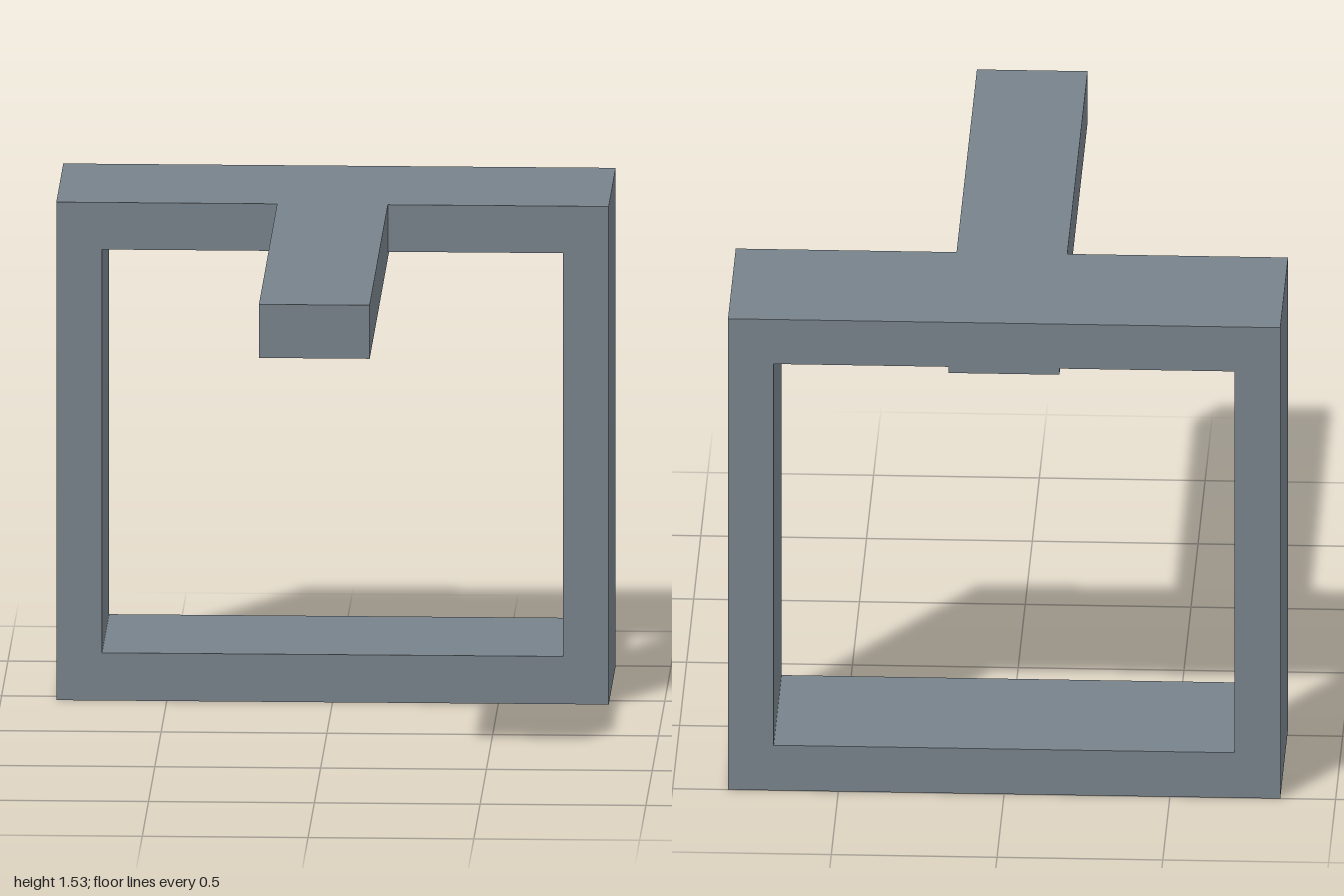
import * as THREE from 'three';

const HALF_W = 0.833, HEIGHT = 1.535;
const BACK = -1, FRAME_FRONT = -0.445, FRONT = 1;
const OPEN_X = 0.695, OPEN_BOTTOM = 0.147, OPEN_TOP = 1.39;
const ARM_X = 0.167, ARM_BOTTOM = 1.37;

const polygon = (Type, points) => new Type(points.map(([x, y]) => new THREE.Vector2(x, y)));

export function createModel() {
  const model = new THREE.Group();
  const steel = new THREE.MeshStandardMaterial({ name: 'slate grey', color: 0x77828a });

  // Square frame; the arm's root shows as a shallow step under the top bar
  const outline = polygon(THREE.Shape, [
    [-HALF_W, 0], [HALF_W, 0], [HALF_W, HEIGHT], [-HALF_W, HEIGHT],
  ]);
  outline.holes.push(polygon(THREE.Path, [
    [-OPEN_X, OPEN_BOTTOM], [-OPEN_X, OPEN_TOP],
    [-ARM_X, OPEN_TOP], [-ARM_X, ARM_BOTTOM], [ARM_X, ARM_BOTTOM], [ARM_X, OPEN_TOP],
    [OPEN_X, OPEN_TOP], [OPEN_X, OPEN_BOTTOM],
  ]));
  const frame = new THREE.Mesh(
    new THREE.ExtrudeGeometry(outline, { depth: FRAME_FRONT - BACK, bevelEnabled: false }),
    steel,
  );
  frame.name = 'frame';
  frame.position.z = BACK;
  model.add(frame);

  // Long arm reaching forward, flush with the top of the frame
  const arm = new THREE.Mesh(
    new THREE.BoxGeometry(ARM_X * 2, HEIGHT - ARM_BOTTOM, FRONT - FRAME_FRONT),
    steel,
  );
  arm.name = 'arm';
  arm.position.set(0, (HEIGHT + ARM_BOTTOM) / 2, (FRONT + FRAME_FRONT) / 2);
  model.add(arm);

  return model;
}
